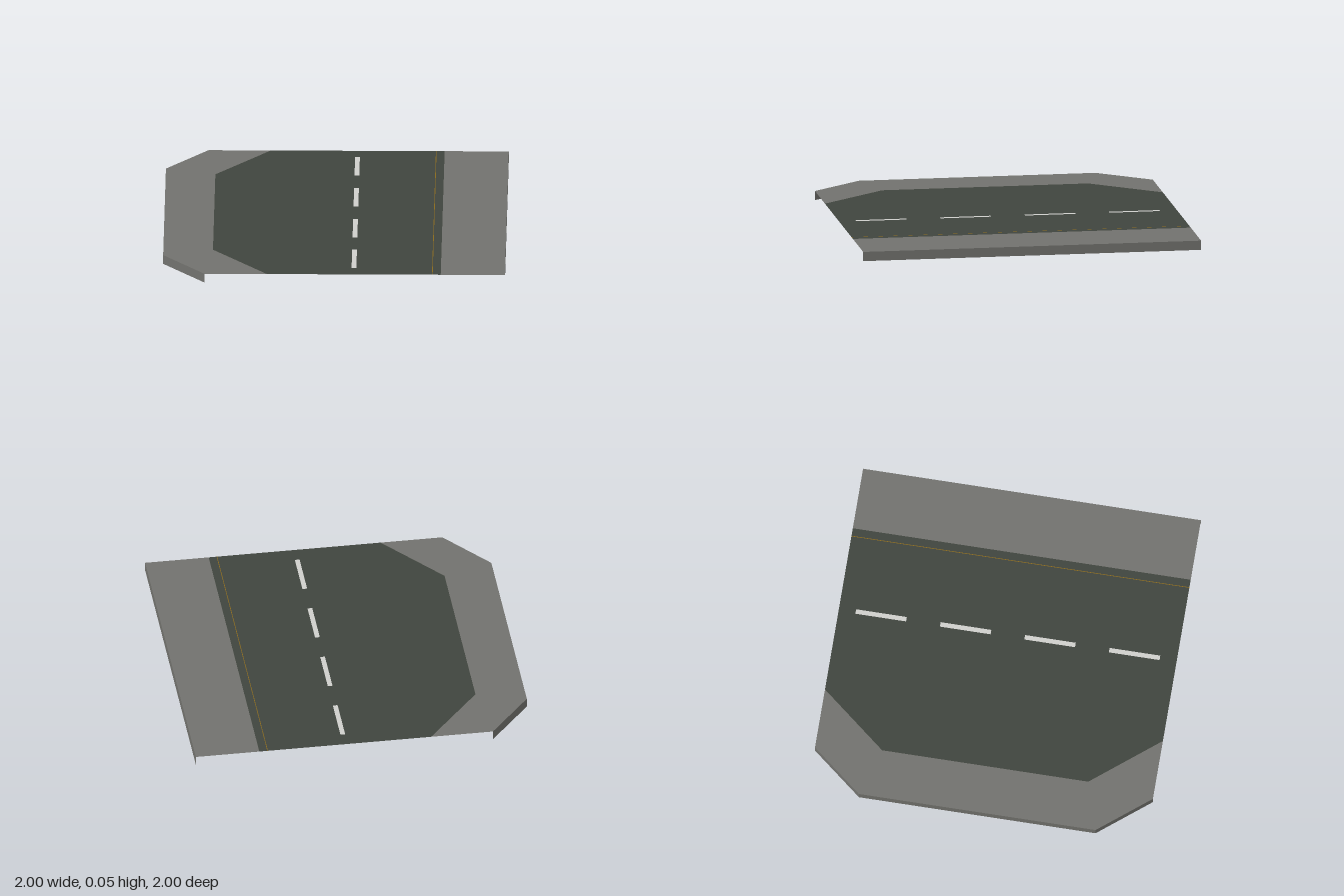
import * as THREE from 'three';

const TOP = 0.055;

export function createModel() {
  const group = new THREE.Group();
  const material = (name, color) => {
    const m = new THREE.MeshStandardMaterial({ color, side: THREE.DoubleSide });
    m.name = name;
    return m;
  };
  const concrete = material('concrete', 0x72726e);
  const asphalt = material('asphalt', 0x40453f);
  const white = material('white paint', 0xd0d0cc);
  const yellow = material('yellow paint', 0x8a6a1c);

  const add = (name, geometry, mat) => {
    const mesh = new THREE.Mesh(geometry, mat);
    mesh.name = name;
    group.add(mesh);
    return mesh;
  };
  const points = (list) => list.map(([x, z]) => new THREE.Vector2(x, -z));
  const rect = (x0, x1, z0, z1) => [[x0, z1], [x1, z1], [x1, z0], [x0, z0]];

  // Flat sheet at road level, with optional cut-outs
  const sheet = (name, outline, mat, holes = []) => {
    const shape = new THREE.Shape(points(outline));
    holes.forEach((h) => shape.holes.push(new THREE.Path(points(h))));
    const geometry = new THREE.ShapeGeometry(shape);
    geometry.rotateX(-Math.PI / 2).translate(0, TOP, 0);
    add(name, geometry, mat);
  };

  // Pavements on both sides of the road
  sheet('leftPavement', rect(0.625, 1, -1, 1), concrete);
  sheet('rightPavement', [
    [-0.755, 1], [-0.39, 1], [-0.71, 0.61], [-0.71, -0.61],
    [-0.39, -1], [-0.755, -1], [-1, -0.7], [-1, 0.7],
  ], concrete);

  // Road surface with slots for the lane dashes
  const dashes = [-0.75, -0.25, 0.25, 0.75].map((z) => rect(0.103, 0.131, z - 0.15, z + 0.15));
  sheet('roadSurface', [
    [-0.39, 1], [0.574, 1], [0.574, -1], [-0.39, -1], [-0.71, -0.61], [-0.71, 0.61],
  ], asphalt, dashes);
  sheet('roadEdge', rect(0.578, 0.625, -1, 1), asphalt);
  sheet('edgeLine', rect(0.574, 0.578, -1, 1), yellow);
  dashes.forEach((d) => sheet('laneDash', d, white));

  // Skirts below the outer pavement edges; the road ends stay open
  const skirt = (name, [x0, z0], [x1, z1]) => {
    const length = Math.hypot(x1 - x0, z1 - z0);
    const mesh = add(name, new THREE.PlaneGeometry(length, TOP), concrete);
    mesh.position.set((x0 + x1) / 2, TOP / 2, (z0 + z1) / 2);
    mesh.rotation.y = Math.atan2(z0 - z1, x1 - x0);
  };
  skirt('leftSkirt', [1, 1], [1, -1]);
  skirt('rightSkirt', [-1, -0.7], [-1, 0.7]);
  skirt('frontCornerSkirt', [-1, 0.7], [-0.755, 1]);
  skirt('backCornerSkirt', [-0.755, -1], [-1, -0.7]);

  return group;
}
